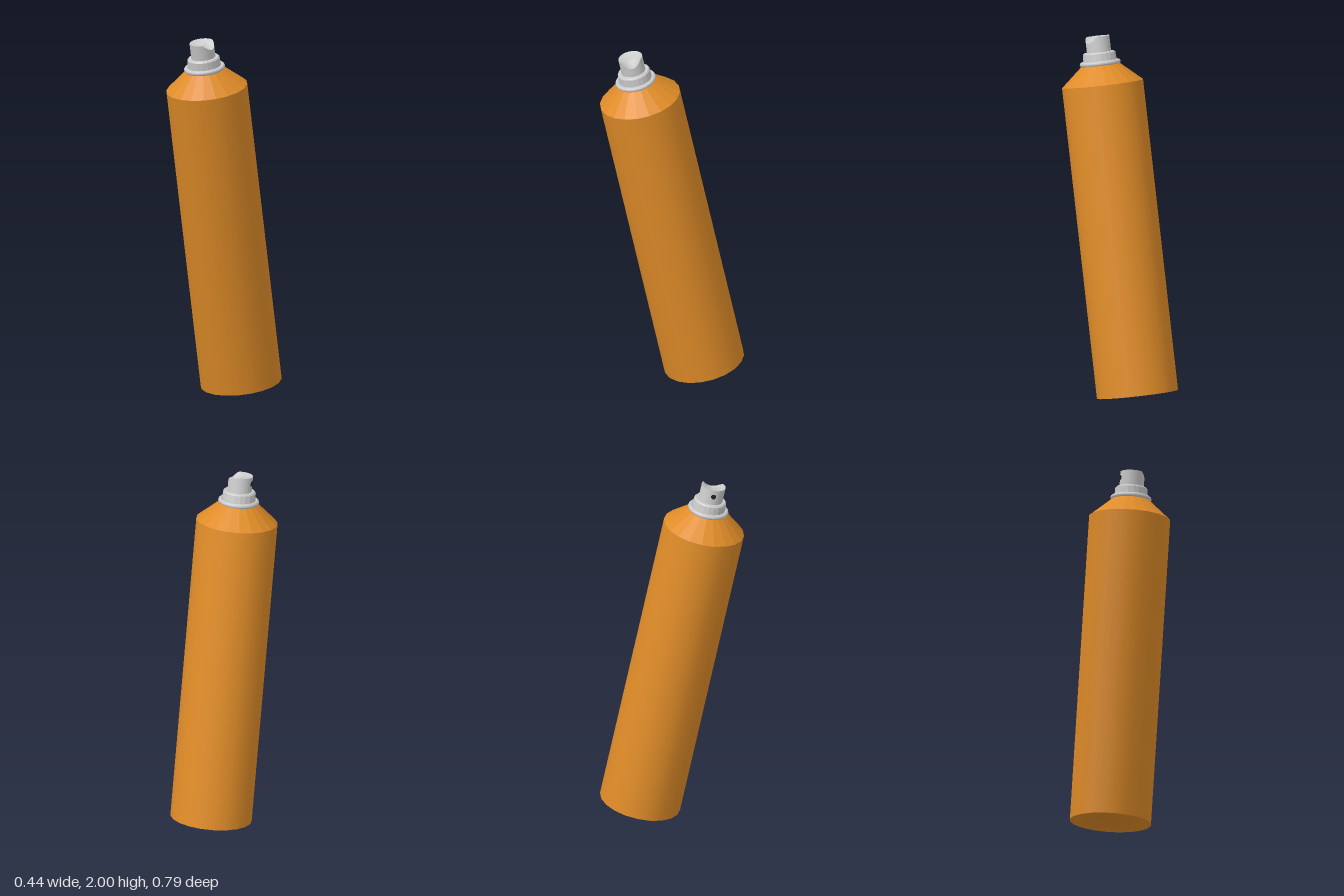
import * as THREE from 'three';

const SIDES = 20;
const TURN = Math.PI / SIDES; // puts a flat side towards each axis

function material(color, flat = false) {
  return new THREE.MeshStandardMaterial({ color, flatShading: flat, side: THREE.DoubleSide });
}

// Turned surface from [radius, height] pairs, listed from the bottom up
function turned(name, profile, mat) {
  const points = profile.map(([r, y]) => new THREE.Vector2(r, y));
  const mesh = new THREE.Mesh(new THREE.LatheGeometry(points, SIDES, TURN), mat);
  mesh.name = name;
  return mesh;
}

// Height of the finger rest: a shallow dish that runs out low towards +x
function restHeight(x, z, radius) {
  const r2 = (x * x + z * z) / (radius * radius);
  const run = THREE.MathUtils.smoothstep(x, -0.045, 0.05);
  const across = Math.max(0, 1 - (z / 0.056) ** 2);
  return 1.982 - Math.max(0.016 * (1 - r2), 0.036 * run * across);
}

// Polar grid whose vertices are lifted by the finger rest rule
function fingerRest(radius) {
  const geo = new THREE.RingGeometry(0.0005, radius, 40, 10);
  geo.rotateX(-Math.PI / 2);
  const p = geo.attributes.position;
  for (let i = 0; i < p.count; i++) p.setY(i, restHeight(p.getX(i), p.getZ(i), radius));
  geo.computeVertexNormals();
  return geo;
}

// Button wall whose upper edge follows the finger rest
function buttonWall(radius, base) {
  const geo = new THREE.CylinderGeometry(radius, radius, 1, 40, 1, true, Math.PI / 2);
  const p = geo.attributes.position;
  for (let i = 0; i < p.count; i++) {
    p.setY(i, p.getY(i) > 0 ? restHeight(p.getX(i), p.getZ(i), radius) : base);
  }
  return geo;
}

export function createModel() {
  const model = new THREE.Group();
  model.name = 'sprayCan';
  const can = new THREE.Group();
  can.name = 'tiltedCan';
  model.add(can);

  const orange = material(0xe08c28);
  const orangeFlat = material(0xe08c28, true);
  const grey = material(0xcccccc);
  const greyFlat = material(0xcccccc, true);

  // Can body with a hollow underside
  can.add(turned('bodyWall', [[0.225, 0], [0.225, 1.72]], orange));
  can.add(turned('bottomRim', [[0.205, 0], [0.225, 0]], orangeFlat));
  can.add(turned('bottomDome', [[0, 0.06], [0.07, 0.055], [0.14, 0.038], [0.185, 0.016], [0.205, 0]], orange));
  can.add(turned('shoulder', [[0.225, 1.72], [0.105, 1.825], [0.085, 1.83]], orangeFlat));

  // Rolled ring around the mouth
  const ring = new THREE.Mesh(new THREE.TorusGeometry(0.1, 0.014, 10, SIDES), grey);
  ring.name = 'mouthRing';
  ring.rotation.set(Math.PI / 2, 0, TURN);
  ring.position.y = 1.834;
  can.add(ring);

  // Stepped collar under the button
  can.add(turned('collar', [[0.094, 1.82], [0.09, 1.888], [0.083, 1.896], [0.066, 1.896]], greyFlat));

  // Spray button
  const button = new THREE.Group();
  button.name = 'sprayButton';
  const wall = new THREE.Mesh(buttonWall(0.067, 1.89), grey);
  wall.name = 'buttonWall';
  const rest = new THREE.Mesh(fingerRest(0.067), grey);
  rest.name = 'fingerRest';
  const hole = new THREE.Mesh(new THREE.CylinderGeometry(0.014, 0.014, 0.006, 12), material(0x222222));
  hole.name = 'sprayHole';
  hole.rotation.z = Math.PI / 2;
  hole.position.set(-0.066, 1.945, 0);
  button.add(wall, rest, hole);
  can.add(button);

  // The can leans forward on its front bottom edge
  can.rotation.x = THREE.MathUtils.degToRad(11.85);
  can.position.set(0, 0.046, -0.177);
  return model;
}
